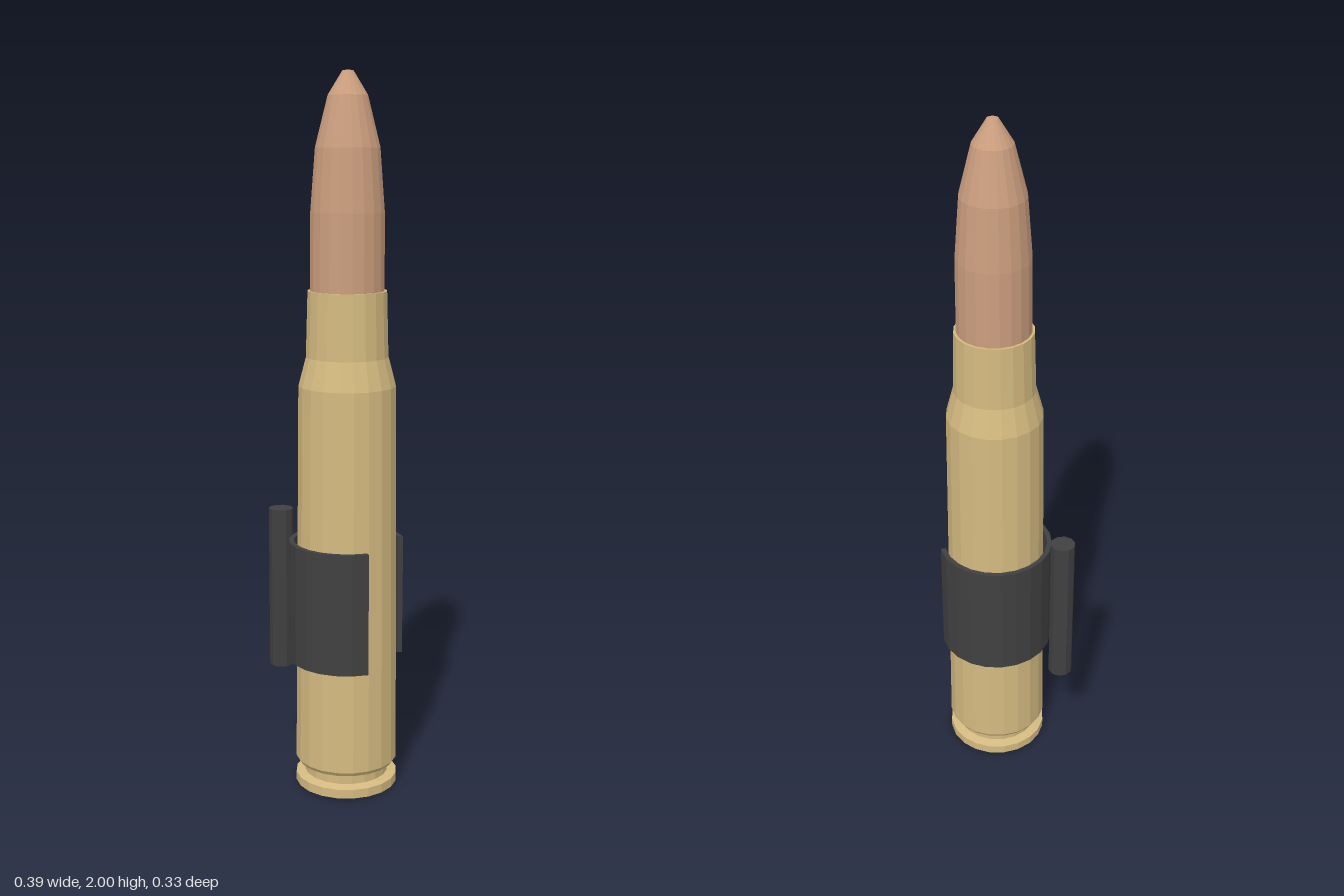
import * as THREE from 'three';

const SIDES = 20;

function material(name, color) {
  const m = new THREE.MeshStandardMaterial({ color });
  m.name = name;
  m.flatShading = true;
  return m;
}

// Turned part from [radius, height] pairs, listed bottom to top
function turned(name, points, mat) {
  const profile = points.map(([r, y]) => new THREE.Vector2(r, y));
  const mesh = new THREE.Mesh(new THREE.LatheGeometry(profile, SIDES), mat);
  mesh.name = name;
  return mesh;
}

export function createModel() {
  const brass = material('brass', 0xd4ba80);
  const copper = material('copper', 0xcb9e7e);
  const dark = material('dark grey', 0x404041);

  const model = new THREE.Group();
  model.name = 'cartridge';
  const round = new THREE.Group();
  round.name = 'round';
  round.position.x = 0.05;
  model.add(round);

  // Case: rim, extractor groove, tapered body, shoulder, neck and mouth
  round.add(turned('case', [
    [0, 0.004], [0.145, 0.004], [0.145, 0.03], [0.119, 0.036], [0.119, 0.062],
    [0.137, 0.068], [0.145, 0.08], [0.135, 1.16], [0.114, 1.24], [0.109, 1.42], [0.09, 1.42],
  ], brass));

  // Pointed bullet with a small flat tip
  round.add(turned('bullet', [
    [0.102, 1.41], [0.101, 1.63], [0.088, 1.8], [0.054, 1.935], [0.015, 1.998], [0, 2],
  ], copper));

  // Primer in the base
  const primer = new THREE.Mesh(new THREE.CylinderGeometry(0.066, 0.066, 0.008, 12), copper);
  primer.name = 'primer';
  primer.position.y = 0.004;
  round.add(primer);

  // Open clip around the case, gap towards +x
  const clipShape = new THREE.Shape();
  const start = THREE.MathUtils.degToRad(40);
  const sweep = THREE.MathUtils.degToRad(280);
  const steps = 17;
  const arc = (r, i) => {
    const a = start + (sweep * i) / steps;
    return [r * Math.cos(a), r * Math.sin(a)];
  };
  clipShape.moveTo(...arc(0.163, 0));
  for (let i = 1; i <= steps; i++) clipShape.lineTo(...arc(0.163, i));
  for (let i = steps; i >= 0; i--) clipShape.lineTo(...arc(0.149, i));
  clipShape.closePath();
  const clipGeometry = new THREE.ExtrudeGeometry(clipShape, { depth: 0.345, bevelEnabled: false });
  clipGeometry.rotateX(-Math.PI / 2);
  const clip = new THREE.Mesh(clipGeometry, dark);
  clip.name = 'clip';
  clip.position.y = 0.375;
  round.add(clip);

  // Separate hinge pin beside the clip
  const pin = new THREE.Mesh(new THREE.CylinderGeometry(0.035, 0.035, 0.47, 10), dark);
  pin.name = 'pin';
  pin.position.set(-0.165, 0.55, 0);
  pin.rotation.y = Math.PI / 2;
  model.add(pin);

  return model;
}
